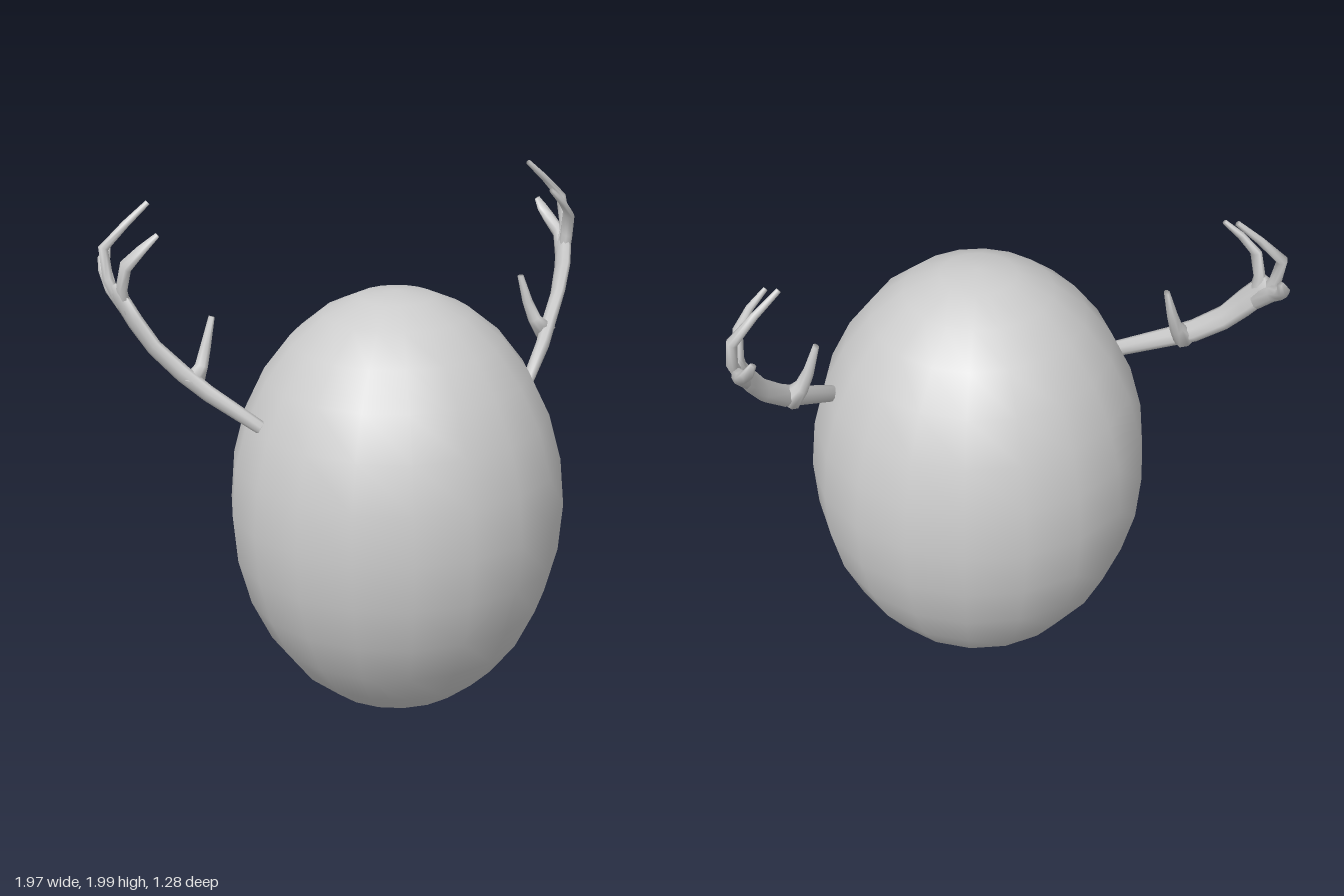
import * as THREE from 'three';

const SIDES = 8;

// Flattened tapering branch; each row is [x, y, z, half width, half thickness].
function branchGeometry(rows, mirrored) {
  const pts = rows.map(r => new THREE.Vector3(r[0], r[1], r[2]));
  const pos = [], idx = [], last = rows.length - 1;
  const out = new THREE.Vector3(1, 0, 0);
  rows.forEach((r, i) => {
    const t = pts[Math.min(i + 1, last)].clone().sub(pts[Math.max(i - 1, 0)]).normalize();
    const wide = t.clone().cross(out).normalize();
    const thin = t.clone().cross(wide);
    for (let k = 0; k < SIDES; k++) {
      const a = (k / SIDES) * Math.PI * 2;
      const p = pts[i].clone()
        .addScaledVector(wide, Math.cos(a) * r[3])
        .addScaledVector(thin, Math.sin(a) * r[4]);
      pos.push(mirrored ? -p.x : p.x, p.y, p.z);
    }
  });
  const tri = (a, b, c) => (mirrored ? idx.push(a, c, b) : idx.push(a, b, c));
  for (let i = 0; i < last; i++) {
    for (let k = 0; k < SIDES; k++) {
      const a = i * SIDES + k, b = i * SIDES + (k + 1) % SIDES;
      tri(a, b, a + SIDES);
      tri(b, b + SIDES, a + SIDES);
    }
  }
  // end caps
  for (let k = 1; k < SIDES - 1; k++) {
    tri(0, k + 1, k);
    tri(last * SIDES, last * SIDES + k, last * SIDES + k + 1);
  }
  const g = new THREE.BufferGeometry();
  g.setAttribute('position', new THREE.Float32BufferAttribute(pos, 3));
  g.setIndex(idx);
  g.computeVertexNormals();
  return g;
}

const branches = {
  beam: [
    [0.55, 1.222, 0.01, 0.03, 0.022],
    [0.70, 1.335, -0.125, 0.036, 0.027],
    [0.77, 1.40, -0.20, 0.042, 0.028],
    [0.85, 1.49, -0.275, 0.046, 0.025],
    [0.90, 1.58, -0.33, 0.053, 0.025],
    [0.935, 1.66, -0.385, 0.052, 0.024],
    [0.95, 1.70, -0.41, 0.035, 0.018]
  ],
  browTine: [
    [0.745, 1.36, -0.175, 0.045, 0.045],
    [0.70, 1.42, -0.195, 0.033, 0.025],
    [0.675, 1.49, -0.21, 0.024, 0.02],
    [0.645, 1.597, -0.218, 0.016, 0.011]
  ],
  frontTine: [
    [0.92, 1.61, -0.36, 0.035, 0.02],
    [0.935, 1.70, -0.365, 0.034, 0.02],
    [0.925, 1.79, -0.335, 0.036, 0.018],
    [0.875, 1.85, -0.305, 0.025, 0.014],
    [0.815, 1.905, -0.288, 0.011, 0.009]
  ],
  middleTine: [
    [0.93, 1.63, -0.39, 0.035, 0.02],
    [0.965, 1.72, -0.43, 0.027, 0.02],
    [0.965, 1.83, -0.468, 0.022, 0.02],
    [0.88, 1.915, -0.455, 0.016, 0.014],
    [0.795, 1.99, -0.443, 0.011, 0.01]
  ],
  rearTine: [
    [0.92, 1.62, -0.38, 0.035, 0.022],
    [0.95, 1.685, -0.45, 0.03, 0.024],
    [0.945, 1.73, -0.525, 0.022, 0.026],
    [0.935, 1.765, -0.565, 0.016, 0.024],
    [0.915, 1.805, -0.575, 0.009, 0.012]
  ]
};

export function createModel() {
  const model = new THREE.Group();
  const grey = new THREE.MeshStandardMaterial({ color: 0xcccccc });
  grey.name = 'lightGrey';

  // egg-shaped body, with a corner facing front and back
  const body = new THREE.Mesh(new THREE.SphereGeometry(0.638, 18, 14), grey);
  body.name = 'eggBody';
  body.geometry.rotateY(Math.PI / 2).scale(1, 0.835 / 0.638, 1).translate(0, 0.84, 0);
  model.add(body);

  // pair of antlers
  for (const mirrored of [false, true]) {
    const antler = new THREE.Group();
    antler.name = mirrored ? 'rightAntler' : 'leftAntler';
    for (const [name, rows] of Object.entries(branches)) {
      const mesh = new THREE.Mesh(branchGeometry(rows, mirrored), grey);
      mesh.name = name;
      antler.add(mesh);
    }
    model.add(antler);
  }
  return model;
}
